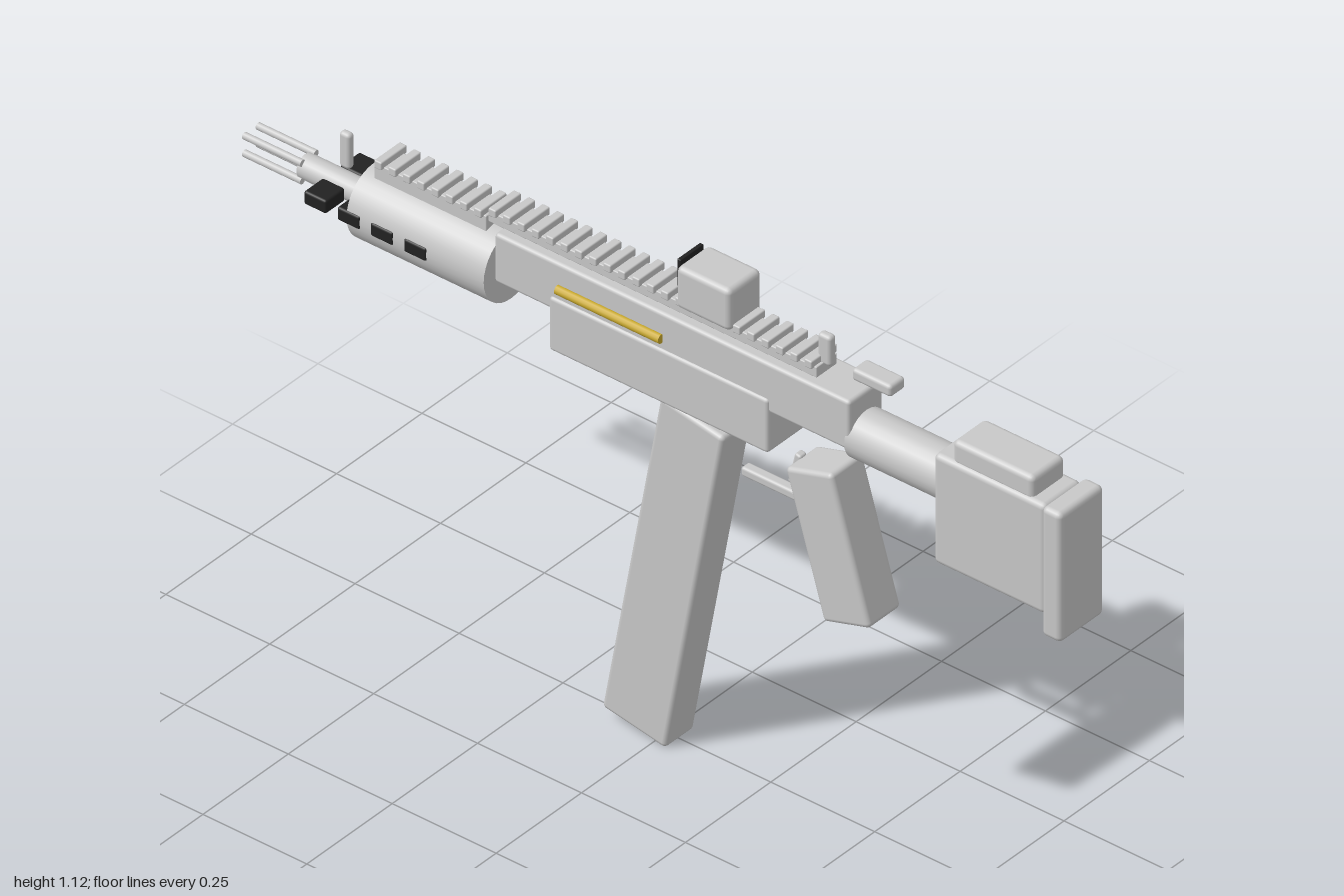
import * as THREE from 'three';
import { RoundedBoxGeometry } from 'three/addons/geometries/RoundedBoxGeometry.js';

const mat = (name, color) => new THREE.MeshStandardMaterial({ name, color });

export function createModel() {
  const model = new THREE.Group();
  model.name = 'toyBlaster';
  const grey = mat('lightGrey', 0xc8c8c8);
  const black = mat('black', 0x222222);
  const gold = mat('gold', 0xc9a92c);

  const add = (name, geometry, material, x, y, z, tilt = 0) => {
    const mesh = new THREE.Mesh(geometry, material);
    mesh.name = name;
    mesh.position.set(x, y, z);
    mesh.rotation.x = tilt;
    model.add(mesh);
    return mesh;
  };
  // Softly bevelled box given by its ranges
  const block = (name, [x0, x1], [y0, y1], [z0, z1], material = grey, r = 0.008) =>
    add(name, new RoundedBoxGeometry(x1 - x0, y1 - y0, z1 - z0, 2, r), material,
      (x0 + x1) / 2, (y0 + y1) / 2, (z0 + z1) / 2);
  // Rod running along z
  const rod = (name, r, [z0, z1], x, y, material = grey, sides = 24) =>
    add(name, new THREE.CylinderGeometry(r, r, z1 - z0, sides).rotateX(Math.PI / 2),
      material, x, y, (z0 + z1) / 2);

  const axis = 0.903;

  // Stock
  block('buttPad', [-0.065, 0.065], [0.69, 0.985], [0.953, 1.0], grey, 0.012);
  block('stockBody', [-0.055, 0.055], [0.73, 0.98], [0.685, 0.955], grey, 0.012);
  block('cheekRest', [-0.048, 0.048], [0.97, 1.025], [0.725, 0.92], grey, 0.012);
  rod('bufferTube', 0.053, [0.47, 0.69], 0, axis);

  // Receiver
  block('upperReceiver', [-0.05, 0.05], [0.888, 1.0], [-0.375, 0.48]);
  block('lowerReceiver', [-0.055, 0.055], [0.797, 0.92], [-0.24, 0.288]);
  block('chargingHandle', [0.01, 0.055], [0.998, 1.025], [0.435, 0.53]);
  block('portCover', [0.045, 0.077], [0.938, 0.99], [0, 0.165], black, 0.01);
  for (const s of [-1, 1]) rod('goldRod', 0.01, [-0.22, 0.03], s * 0.053, 0.943, gold, 12);

  // Handguard, barrel and muzzle prongs
  rod('handguard', 0.08, [-0.705, -0.375], 0, axis, grey, 32);
  rod('barrel', 0.026, [-0.87, -0.7], 0, axis);
  for (const s of [-1, 1]) {
    for (const t of [-1, 1]) rod('muzzleProng', 0.0075, [-1, -0.86], s * 0.02, axis + t * 0.02, grey, 10);
    for (let i = 0; i < 4; i++) {
      const z = -0.54 - i * 0.08;
      const xs = s > 0 ? [0.025, 0.082] : [-0.082, -0.025];
      block('sideVent', xs, [0.888, 0.918], [z - 0.027, z + 0.027], black, 0.005);
    }
  }

  // Toothed top rails
  const rail = (name, base, top, z0, z1, count) => {
    block(name + 'Base', [-0.03, 0.03], [base, top - 0.014], [z1, z0], grey, 0.002);
    const step = (z0 - z1 - 0.03) / (count - 1);
    for (let i = 0; i < count; i++) {
      const z = z0 - 0.015 - i * step;
      block(name + 'Tooth', [-0.038, 0.038], [top - 0.018, top], [z - 0.009, z + 0.009], grey, 0.003);
    }
  };
  rail('mainRail', 1.002, 1.04, 0.385, -0.405, 23);
  rail('frontRail', 0.97, 1.025, -0.41, -0.68, 8);

  // Sights
  block('rearSight', [-0.01, 0.01], [1.02, 1.088], [0.369, 0.401]);
  block('frontSight', [-0.009, 0.009], [0.945, 1.025], [-0.783, -0.757]);
  block('opticHousing', [-0.048, 0.048], [1.025, 1.12], [0.06, 0.19], grey, 0.012);
  block('opticLens', [-0.034, 0.034], [1.065, 1.126], [0.052, 0.061], black, 0.002);

  // Grip, trigger and magazine
  add('grip', new RoundedBoxGeometry(0.096, 0.325, 0.117, 2, 0.01), grey, 0, 0.64, 0.424, -0.29);
  add('trigger', new RoundedBoxGeometry(0.02, 0.075, 0.016, 2, 0.005), grey, 0, 0.75, 0.314, 0.24);
  block('triggerGuard', [-0.012, 0.012], [0.679, 0.7], [0.187, 0.37], grey, 0.006);
  add('magazine', new RoundedBoxGeometry(0.086, 0.785, 0.156, 2, 0.01), grey, 0, 0.4, 0.024, 0.18);

  return model;
}
